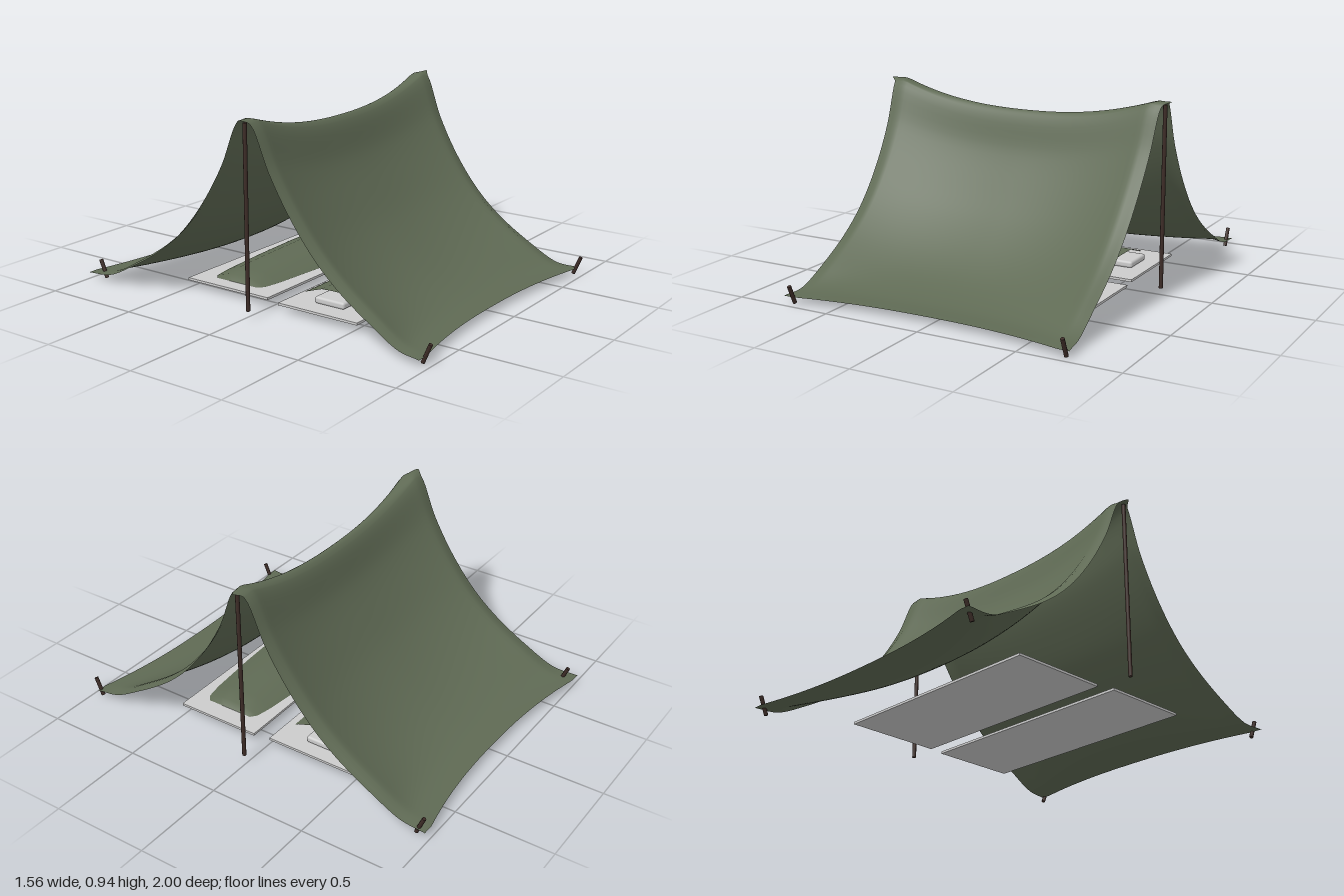
import * as THREE from 'three';
import { RoundedBoxGeometry } from 'three/addons/geometries/RoundedBoxGeometry.js';

const green = new THREE.MeshStandardMaterial({ color: 0x5f6a54, side: THREE.DoubleSide });
const wood = new THREE.MeshStandardMaterial({ color: 0x3d2c27 });
const grey = new THREE.MeshStandardMaterial({ color: 0xcccccc });

function addMesh(parent, name, geometry, material, x = 0, y = 0, z = 0) {
  const mesh = new THREE.Mesh(geometry, material);
  mesh.name = name;
  mesh.position.set(x, y, z);
  parent.add(mesh);
  return mesh;
}

// Half profiles [z, y] from ridge to ground, mirrored into one full curve
function profile(points) {
  const back = points.slice(1).reverse().map(([z, y]) => [-z, y]);
  return new THREE.CatmullRomCurve3([...back, ...points].map(([z, y]) => new THREE.Vector3(0, y, z)));
}

// Canvas: taut profile near both ends blended into a sagging one in the middle
function canvasGeometry() {
  const edge = profile([[0, 0.945], [0.036, 0.935], [0.13, 0.735], [0.245, 0.55], [0.38, 0.385],
    [0.52, 0.26], [0.7, 0.14], [0.85, 0.055], [0.965, 0.035]]);
  const middle = profile([[0, 0.84], [0.03, 0.815], [0.09, 0.645], [0.18, 0.49], [0.295, 0.335],
    [0.45, 0.19], [0.6, 0.095], [0.75, 0.044], [0.895, 0.036]]);
  const geometry = new THREE.PlaneGeometry(2, 2, 60, 96);
  const pos = geometry.attributes.position;
  const e = new THREE.Vector3(), m = new THREE.Vector3();
  for (let i = 0; i < pos.count; i++) {
    const u = pos.getX(i), v = -pos.getY(i), t = Math.abs(v), a = Math.abs(u);
    edge.getPoint((v + 1) / 2, e);
    middle.getPoint((v + 1) / 2, m);
    const p = m.lerp(e, Math.min(1, Math.pow(a / 0.93, 2.3)));
    // narrower waist on the slopes, small flares at ridge tips and corners
    const bow = Math.sin(Math.PI * t);
    const waist = (v > 0 ? 0.028 : 0.006) * bow;
    const flare = (0.03 * Math.exp(-((t / 0.08) ** 2)) + 0.005 * t ** 20) * a ** 10;
    // hem droops along the open ends; ridge sits over the poles
    const droop = 0.028 * bow * THREE.MathUtils.smoothstep(a, 0.9, 1);
    const ridgeShift = 0.012 * (1 - t);
    const stretch = v < 0 ? (0.008 * u - 0.024) * t ** 6 : 0;
    pos.setXYZ(i, u * (0.75 - waist + flare) - 0.017 * t, p.y - droop, p.z + stretch + ridgeShift);
  }
  geometry.computeVertexNormals();
  return geometry;
}

// Sleeping bag: flat-topped cross-sections lofted along x, open at the head
function bagGeometry() {
  const section = [[0.21, 0], [0.19, 0.01], [0.1, 0.04], [0.05, 0.043],
    [-0.05, 0.043], [-0.1, 0.04], [-0.19, 0.01], [-0.21, 0]];
  // x, width scale, height scale
  const stations = [[-0.5, 0.6, 0], [-0.47, 0.72, 0.6], [-0.38, 0.8, 0.85], [-0.1, 0.92, 0.95],
    [0.2, 1, 1], [0.42, 1, 1]];
  const positions = [], index = [], n = section.length;
  stations.forEach(([x, w, h], s) => {
    section.forEach(([z, y], k) => {
      positions.push(x, y * h, z * w);
      if (s > 0 && k > 0) {
        const a = (s - 1) * n + k - 1, b = s * n + k - 1;
        index.push(a, b, b + 1, a, b + 1, a + 1);
      }
    });
  });
  const geometry = new THREE.BufferGeometry();
  geometry.setAttribute('position', new THREE.Float32BufferAttribute(positions, 3));
  geometry.setIndex(index);
  geometry.computeVertexNormals();
  return geometry;
}

// Mat with sleeping bag and pillow, head towards +x
function bed(name, length, width) {
  const group = new THREE.Group();
  group.name = name;
  addMesh(group, 'mat', new THREE.BoxGeometry(length, 0.012, width), grey, 0, 0.042, 0);
  addMesh(group, 'sleepingBag', bagGeometry(), green, 0, 0.051, 0);
  addMesh(group, 'pillow', new RoundedBoxGeometry(0.14, 0.034, 0.17, 2, 0.012), grey, 0.43, 0.065, 0);
  return group;
}

export function createModel() {
  const model = new THREE.Group();
  model.name = 'tent';
  addMesh(model, 'canvas', canvasGeometry(), green);

  // Poles and ground pegs at both ends
  const poleGeometry = new THREE.CylinderGeometry(0.01, 0.01, 0.89, 10);
  const pegGeometry = new THREE.CylinderGeometry(0.01, 0.01, 0.098, 8);
  for (const side of [-1, 1]) {
    addMesh(model, 'pole', poleGeometry, wood, side * 0.745, 0.485, 0.016);
    for (const [z, lean] of [[0.97, 0.4], [-0.945, -0.4]]) {
      addMesh(model, 'peg', pegGeometry, wood, side * 0.718, 0.05, z).rotation.x = lean;
    }
  }

  // Two beds lying head to foot
  const backBed = bed('backBed', 1.15, 0.5);
  backBed.position.set(0.005, 0, -0.26);
  const frontBed = bed('frontBed', 1.19, 0.45);
  frontBed.position.set(0, 0, 0.298);
  frontBed.rotation.y = Math.PI;
  model.add(backBed, frontBed);
  return model;
}
